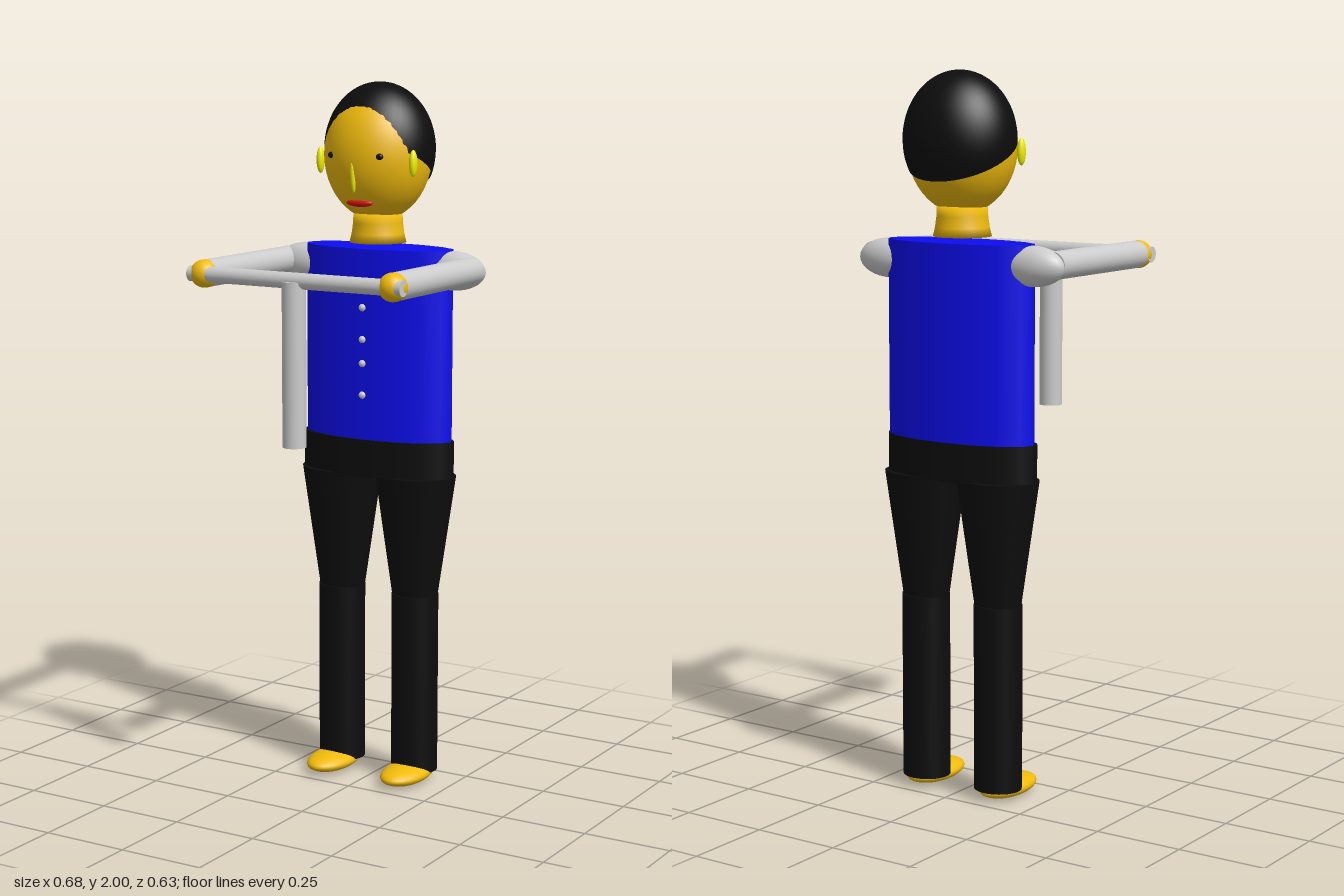
import * as THREE from 'three';

const paint = (color) => new THREE.MeshStandardMaterial({ color });

export function createModel() {
  const model = new THREE.Group();
  const skin = paint(0xf0bb0c), black = paint(0x0d0d0d), blue = paint(0x0d0df0);
  const grey = paint(0xcccccc), yellow = paint(0xeeee00), red = paint(0xdd1111);
  const BODY_Z = -0.168;

  const add = (name, geometry, material, x, y, z) => {
    const mesh = new THREE.Mesh(geometry, material);
    mesh.name = name;
    mesh.position.set(x, y, z);
    model.add(mesh);
    return mesh;
  };
  const ellipsoid = (name, material, [x, y, z], [rx, ry, rz], seg = 32) =>
    add(name, new THREE.SphereGeometry(1, seg, seg / 2).scale(rx, ry, rz), material, x, y, z);
  // upright, optionally tapered, tube with an oval section
  const column = (name, material, [x, z], y0, y1, r0, r1, depth = 1, seg = 32) =>
    add(name, new THREE.CylinderGeometry(r1, r0, y1 - y0, seg).scale(1, 1, depth),
      material, x, (y0 + y1) / 2, z);

  // Head, with the hair as a tilted cap over the skull
  ellipsoid('head', skin, [0, 1.8, -0.16], [0.153, 0.185, 0.145], 48);
  const cap = new THREE.SphereGeometry(1, 48, 28, 0, Math.PI * 2, 0, 1.8)
    .rotateX(-0.393).scale(0.16, 0.185, 0.143);
  const hairMaterial = paint(0x0d0d0d);
  hairMaterial.side = THREE.DoubleSide;
  add('hair', cap, hairMaterial, 0, 1.815, -0.17);

  // Face
  ellipsoid('nose', yellow, [0, 1.745, -0.024], [0.007, 0.045, 0.008], 16).rotation.x = 0.12;
  ellipsoid('mouth', red, [0, 1.671, -0.06], [0.042, 0.011, 0.012], 24);

  // Neck, flared towards the collar
  const neckProfile = [[0, 1.555], [0.08, 1.555], [0.074, 1.58], [0.07, 1.61], [0.069, 1.64], [0, 1.64]];
  add('neck', new THREE.LatheGeometry(neckProfile.map(([r, y]) => new THREE.Vector2(r, y)), 32),
    skin, 0, 0, -0.16);

  // Trunk
  column('shirt', blue, [0, BODY_Z], 1.0, 1.542, 0.235, 0.235, 0.4, 16);
  column('hips', black, [0, -0.165], 0.895, 1.003, 0.24, 0.24, 0.408);
  for (const y of [1.447, 1.378, 1.288, 1.22, 1.13])
    ellipsoid('button', grey, [0, y, -0.076], [0.011, 0.011, 0.011], 12);

  // Paired parts
  for (const s of [1, -1]) {
    const side = s > 0 ? 'left' : 'right';
    ellipsoid(side + 'Eye', black, [s * 0.076, 1.802, -0.037], [0.012, 0.009, 0.008], 16);
    ellipsoid(side + 'Ear', yellow, [s * 0.149, 1.783, -0.096], [0.011, 0.037, 0.014], 20);

    column(side + 'Thigh', black, [s * 0.121, -0.167], 0.55, 0.9, 0.068, 0.12, 0.72)
      .geometry.scale(1, 1, 1.15);
    column(side + 'Shin', black, [s * 0.122, -0.167], 0.03, 0.552, 0.068, 0.068, 0.95);
    ellipsoid(side + 'Foot', skin, [s * 0.124, 0.028, -0.122], [0.064, 0.028, 0.109]);

    ellipsoid(side + 'UpperArm', grey, [s * 0.235, 1.486, -0.17], [0.1, 0.055, 0.05]);
    add(side + 'Forearm', new THREE.CylinderGeometry(0.04, 0.04, 0.436, 32).rotateX(Math.PI / 2)
      .scale(1, 0.95, 1), grey, s * 0.296, 1.49, 0.049);
    ellipsoid(side + 'Hand', skin, [s * 0.297, 1.49, 0.266], [0.0405, 0.039, 0.04], 24);
  }

  // T-shaped bar held in both hands
  add('crossBar', new THREE.CylinderGeometry(0.022, 0.022, 0.67, 24).rotateZ(Math.PI / 2),
    grey, 0, 1.49, 0.278);
  column('hangingPost', grey, [0, 0.28], 1.04, 1.488, 0.0325, 0.0325);

  return model;
}
